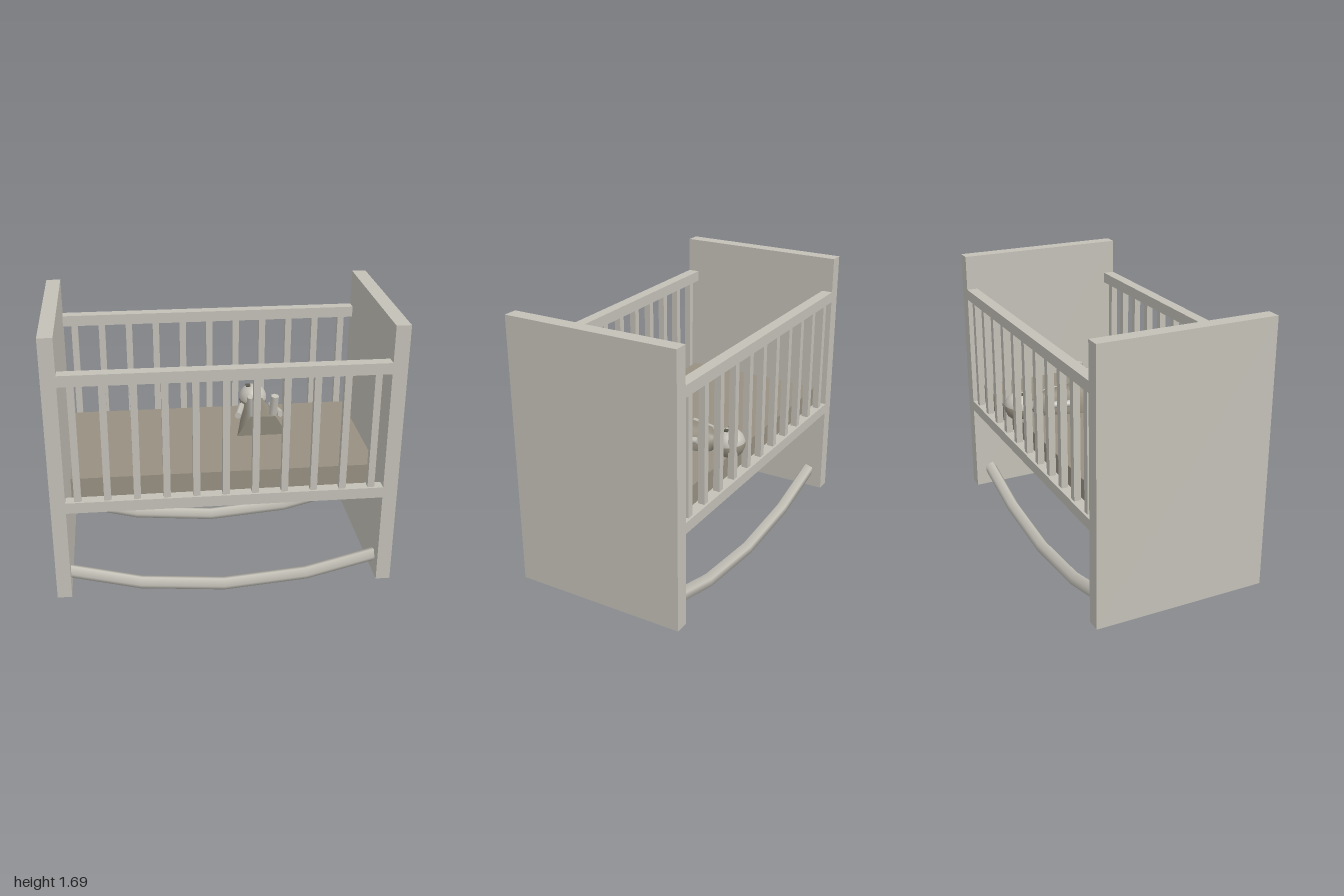
import * as THREE from 'three';

function material(name, color) {
  const m = new THREE.MeshStandardMaterial({ color });
  m.name = name;
  return m;
}

export function createModel() {
  const wood = material('paleWood', 0xc3c0b7);
  const cloth = material('tanCloth', 0x979081);
  const dark = material('darkEye', 0x5c5a4e);
  const model = new THREE.Group();
  model.name = 'rockingCradle';

  const add = (parent, name, geometry, mat, x = 0, y = 0, z = 0) => {
    const mesh = new THREE.Mesh(geometry, mat);
    mesh.name = name;
    mesh.position.set(x, y, z);
    parent.add(mesh);
    return mesh;
  };
  const box = (name, w, h, d, mat, x, y, z) =>
    add(model, name, new THREE.BoxGeometry(w, h, d), mat, x, y, z);

  // End panels
  for (const s of [-1, 1]) box('endPanel', 0.085, 1.62, 1.05, wood, s * 0.9575, 0.89, 0);

  // Side rails, slats and rockers, front and back
  const rockerPath = new THREE.QuadraticBezierCurve3(
    new THREE.Vector3(-0.99, 0.215, 0),
    new THREE.Vector3(0, -0.127, 0),
    new THREE.Vector3(0.99, 0.215, 0)
  );
  for (const s of [-1, 1]) {
    box('lowerRail', 1.83, 0.066, 0.068, wood, 0, 0.678, s * 0.491);
    box('upperRail', 1.83, 0.066, 0.068, wood, 0, 1.452, s * 0.491);
    for (let i = -5; i <= 5; i++) {
      box('slat', 0.04, 0.71, 0.04, wood, i * 0.169, 1.065, s * 0.491);
    }
    add(model, 'rocker', new THREE.TubeGeometry(rockerPath, 4, 0.041, 5), wood, 0, 0, s * 0.423);
  }

  // Mattress
  box('mattress', 1.76, 0.16, 0.914, cloth, 0, 0.75, 0);

  // Doll, built upright and then laid on its back with the head slightly raised
  const doll = new THREE.Group();
  doll.name = 'doll';
  doll.position.set(0.28, 0.83, 0);
  doll.rotation.x = -(Math.PI / 2 - 0.148);
  model.add(doll);

  // Six-sided dress with narrow shoulders and a closed hem
  const profile = [[0.155, 0], [0.083, 0.315], [0.04, 0.345], [0.035, 0.38]];
  add(doll, 'dress', new THREE.LatheGeometry(
    profile.map(([r, y]) => new THREE.Vector2(r, y)), 6, Math.PI / 6), cloth);
  const hem = add(doll, 'hem', new THREE.CircleGeometry(0.155, 6), cloth);
  hem.rotation.x = Math.PI / 2;

  // Head: face toward local +z, bonnet covering the back
  const face = add(doll, 'face', new THREE.SphereGeometry(0.09, 12, 8, 0, Math.PI), wood, 0, 0.445, 0);
  face.name = 'face';
  add(doll, 'bonnet', new THREE.SphereGeometry(0.09, 12, 8, Math.PI, Math.PI), cloth, 0, 0.445, 0);

  // Straight limb between two points
  const limb = (name, a, b, r) => {
    const from = new THREE.Vector3(...a), to = new THREE.Vector3(...b);
    const dir = to.clone().sub(from);
    const mesh = add(doll, name, new THREE.CylinderGeometry(r, r, dir.length(), 6), wood);
    mesh.position.copy(from).add(to).multiplyScalar(0.5);
    mesh.quaternion.setFromUnitVectors(new THREE.Vector3(0, 1, 0), dir.normalize());
  };
  for (const s of [-1, 1]) {
    limb('arm', [s * 0.095, 0.29, 0.035], [s * 0.135, 0.14, 0.058], 0.022);
    limb('foot', [s * 0.06, 0.035, 0.03], [s * 0.073, 0.035, 0.258], 0.026);
    add(doll, 'eye', new THREE.BoxGeometry(0.028, 0.028, 0.009), dark, s * 0.032, 0.45, 0.087);
  }
  return model;
}
